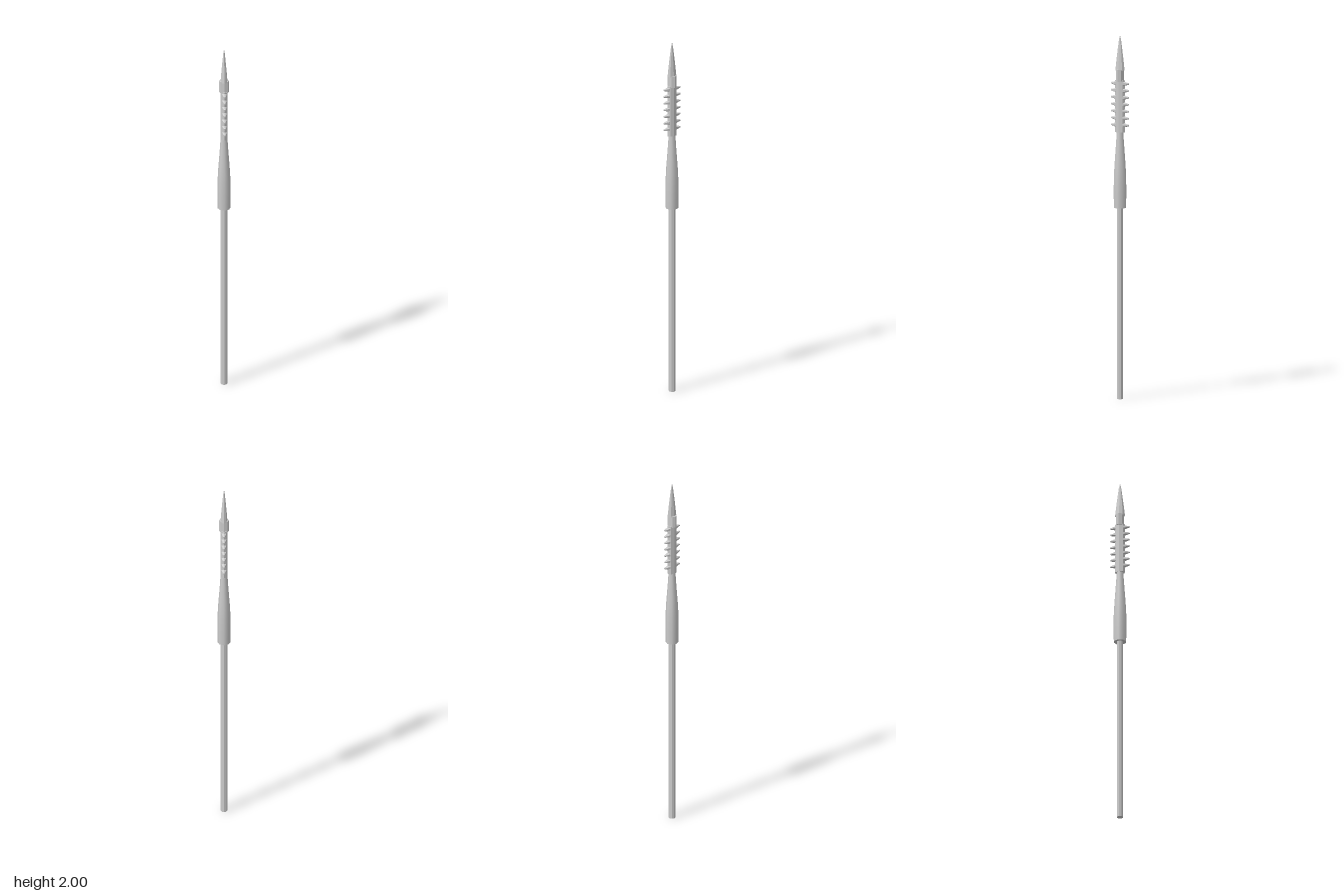
import * as THREE from 'three';

export function createModel() {
  const group = new THREE.Group();
  group.name = 'spear';
  const smooth = new THREE.MeshStandardMaterial({ color: 0xcccccc });
  const flat = new THREE.MeshStandardMaterial({ color: 0xcccccc, flatShading: true });

  // Eight-sided turned part from [radius, y] pairs, squashed into an oval by sx, sz
  const turned = (name, points, material, sx = 1, sz = 1) => {
    const profile = points.map(([r, y]) => new THREE.Vector2(r, y));
    const mesh = new THREE.Mesh(new THREE.LatheGeometry(profile, 8), material);
    mesh.scale.set(sx, 1, sz);
    mesh.name = name;
    group.add(mesh);
    return mesh;
  };

  turned('shaft', [[0, 0], [0.018, 0], [0.018, 1.06], [0, 1.06]], flat);

  // Swollen socket: side wall is smooth, the ends are separate flat caps
  turned('socket', [
    [0.035, 1.05], [0.036, 1.12], [0.0355, 1.21], [0.032, 1.28],
    [0.026, 1.36], [0.021, 1.43], [0.019, 1.47],
  ], smooth);
  turned('socketBottom', [[0, 1.05], [0.035, 1.05]], flat);
  turned('socketTop', [[0.019, 1.47], [0, 1.47]], flat);

  // Oval neck that carries the barbs
  turned('neck', [[0, 1.465], [1, 1.465], [1, 1.75], [0, 1.75]], flat, 0.019, 0.029);
  turned('collar', [[0, 1.745], [1, 1.745], [1, 1.81], [0, 1.81]], flat, 0.028, 0.022);

  // Bladed point, wider front to back
  turned('point', [
    [0, 1.805], [1, 1.805], [0.78, 1.86], [0.5, 1.92], [0.22, 1.975], [0, 2],
  ], flat, 0.019, 0.028);

  // Two rows of flattened barbs, front and back
  const barbGeometry = new THREE.CylinderGeometry(0.005, 0.015, 0.032, 6);
  barbGeometry.rotateX(Math.PI / 2);
  for (const side of [1, -1]) {
    for (let i = 0; i < 7; i++) {
      const barb = new THREE.Mesh(barbGeometry, flat);
      barb.name = side > 0 ? 'frontBarb' : 'backBarb';
      barb.position.set(0, 1.505 + i * 0.038, side * 0.038);
      barb.rotation.y = side > 0 ? 0 : Math.PI;
      barb.scale.y = 0.85;
      group.add(barb);
    }
  }
  return group;
}
